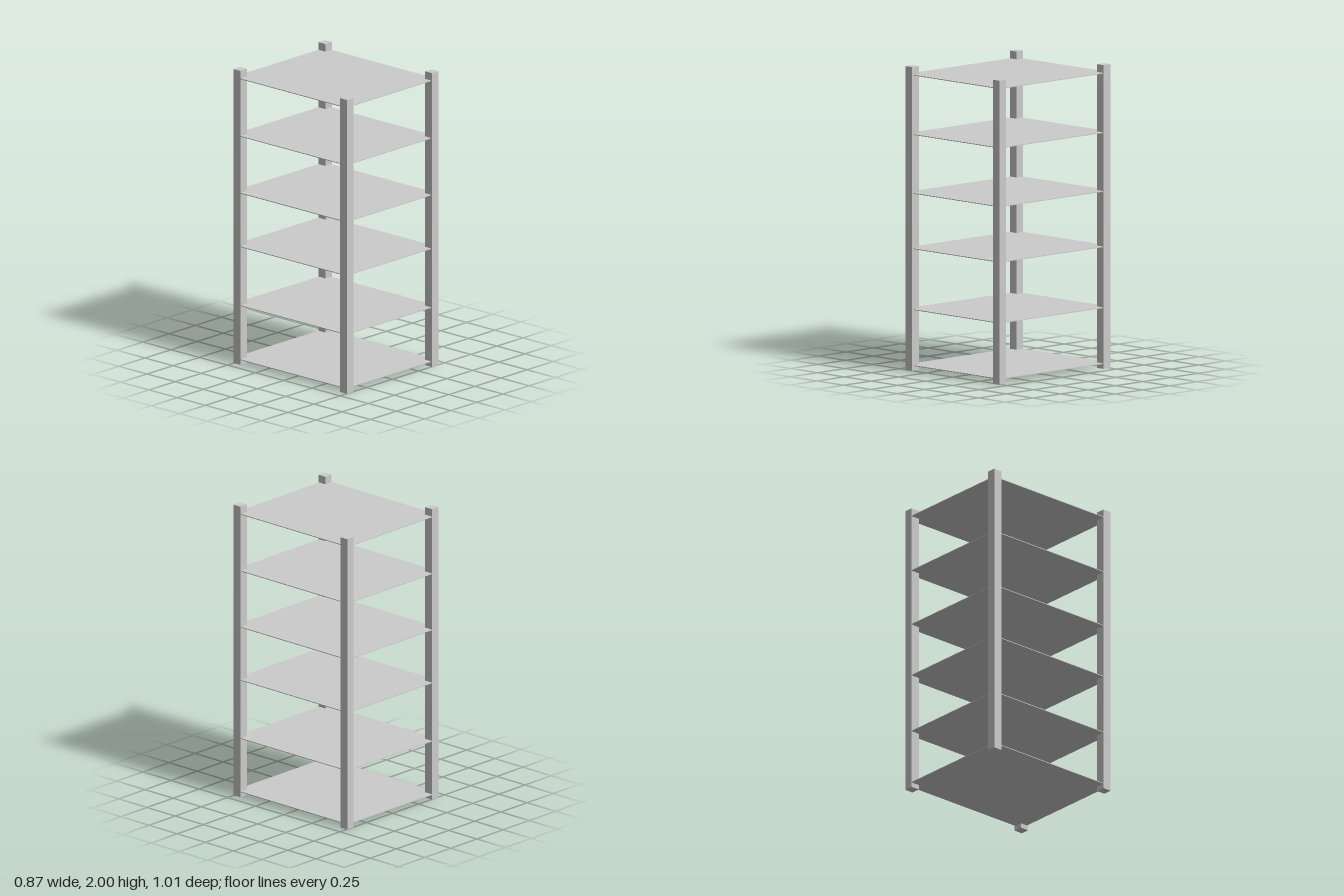
import * as THREE from 'three';

const material = new THREE.MeshStandardMaterial({ color: 0xcccccc, flatShading: true });

function addBox(parent, name, size, position) {
  const mesh = new THREE.Mesh(new THREE.BoxGeometry(...size), material);
  mesh.name = name;
  mesh.position.set(...position);
  parent.add(mesh);
}

export function createModel() {
  const model = new THREE.Group();
  model.name = 'shelvingRack';

  // Four square corner posts, full height
  const post = 0.062;
  for (const [sideName, sx] of [['Left', 1], ['Right', -1]]) {
    for (const [endName, sz] of [['front', 1], ['back', -1]]) {
      addBox(model, `${endName}${sideName}Post`, [post, 2, post],
        [sx * 0.406, 1, sz * 0.474]);
    }
  }

  // Six thin shelves, set a hair towards the back right corner
  const shelfHeights = [0.034, 0.402, 0.803, 1.168, 1.555, 1.946];
  shelfHeights.forEach((y, i) => {
    addBox(model, `shelf${i + 1}`, [0.867, 0.005, 0.999], [-0.003, y, -0.004]);
  });

  return model;
}
